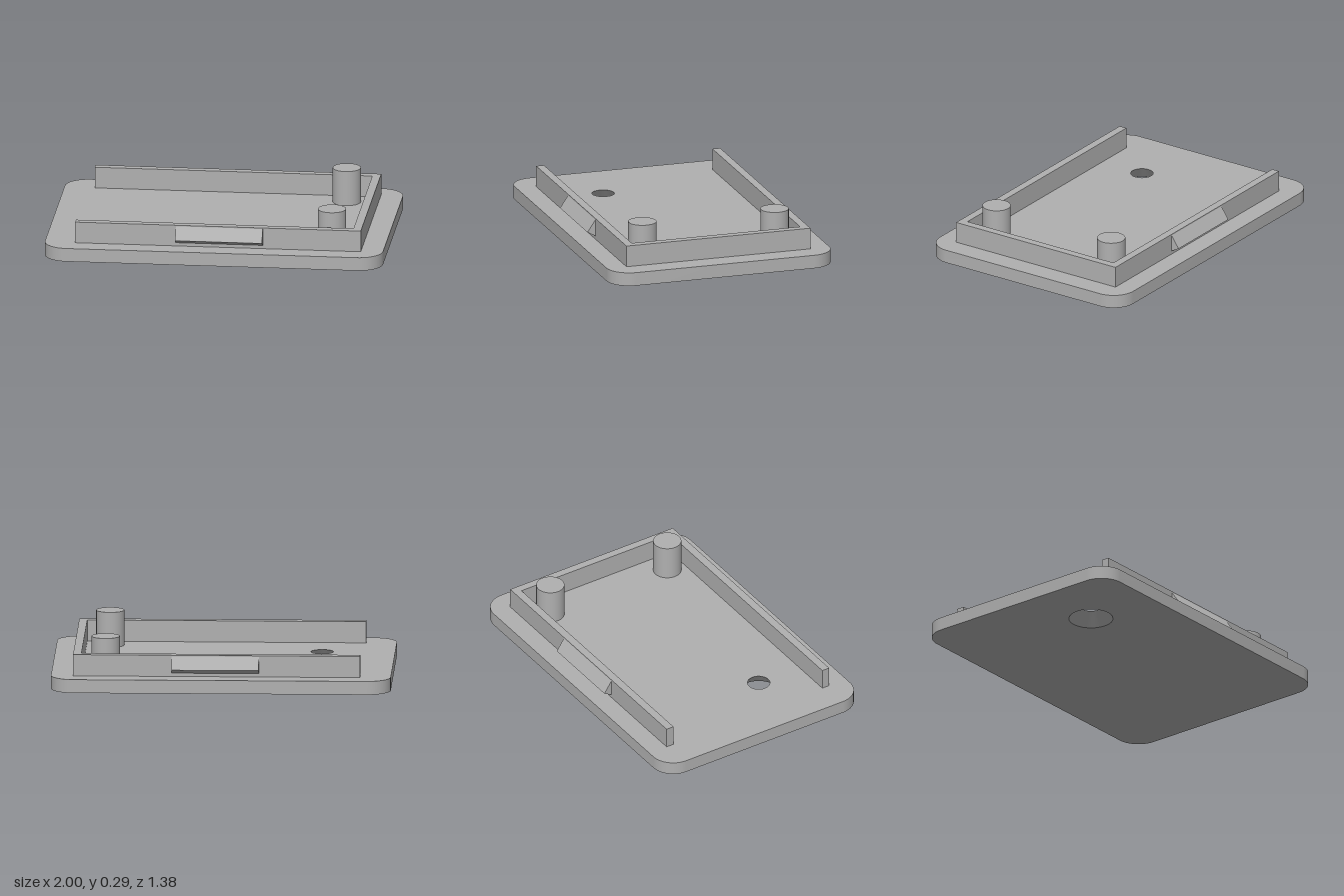
import * as THREE from 'three';
import { toCreasedNormals } from 'three/addons/utils/BufferGeometryUtils.js';

const PLATE_TOP = 0.08;
const HOLE = { x: -0.57, z: 0.238, top: 0.066, bottom: 0.13 };

// Rounded rectangle, symmetric about both axes
function roundedRect(hw, hd, r) {
  const s = new THREE.Shape();
  s.absarc(hw - r, hd - r, r, 0, Math.PI / 2);
  s.absarc(-hw + r, hd - r, r, Math.PI / 2, Math.PI);
  s.absarc(-hw + r, -hd + r, r, Math.PI, Math.PI * 1.5);
  s.absarc(hw - r, -hd + r, r, Math.PI * 1.5, Math.PI * 2);
  s.closePath();
  return s;
}

// Flat plate face with the screw hole cut out
function plateFace(y, holeRadius, up) {
  const s = roundedRect(1, 0.69, 0.14);
  s.holes.push(new THREE.Path().absarc(HOLE.x, up ? -HOLE.z : HOLE.z, holeRadius, 0, Math.PI * 2, true));
  return new THREE.ShapeGeometry(s, 20).rotateX(up ? -Math.PI / 2 : Math.PI / 2).translate(0, y, 0);
}

// Wall strip between two matching loops of (x, -z) points
function ruledBand(bottom, top, y0, y1) {
  const pos = [], n = bottom.length;
  for (let i = 0; i < n; i++) {
    const j = (i + 1) % n;
    const a = [bottom[i].x, y0, -bottom[i].y], b = [bottom[j].x, y0, -bottom[j].y];
    const c = [top[j].x, y1, -top[j].y], d = [top[i].x, y1, -top[i].y];
    pos.push(...a, ...b, ...c, ...a, ...c, ...d);
  }
  const g = new THREE.BufferGeometry();
  g.setAttribute('position', new THREE.Float32BufferAttribute(pos, 3));
  g.computeVertexNormals();
  return toCreasedNormals(g, 0.6);
}

function circlePoints(r, n = 40) {
  return Array.from({ length: n }, (_, i) => {
    const t = -i / n * Math.PI * 2;
    return new THREE.Vector2(HOLE.x + r * Math.cos(t), -HOLE.z + r * Math.sin(t));
  });
}

export function createModel() {
  const root = new THREE.Group();
  root.name = 'enclosureLid';
  const grey = new THREE.MeshStandardMaterial({ color: 0xb0b0b0 });
  grey.name = 'grey plastic';

  const add = (name, geometry, parent = root) => {
    const m = new THREE.Mesh(geometry, grey);
    m.name = name;
    parent.add(m);
    return m;
  };

  // Base plate with a countersunk hole, wide at the underside
  const plate = new THREE.Group();
  plate.name = 'basePlate';
  root.add(plate);
  add('plateTop', plateFace(PLATE_TOP, HOLE.top, true), plate);
  add('plateUnderside', plateFace(0, HOLE.bottom, false), plate);
  const outline = roundedRect(1, 0.69, 0.14).getPoints(20).slice(0, -1);
  add('plateRim', ruledBand(outline, outline, 0, PLATE_TOP), plate);
  add('countersink', ruledBand(circlePoints(HOLE.bottom), circlePoints(HOLE.top), 0, PLATE_TOP), plate);

  // U-shaped lip, open on the -x side
  const lip = new THREE.Shape([
    [-0.82, -0.57], [0.87, -0.57], [0.87, 0.57], [-0.82, 0.57],
    [-0.82, 0.522], [0.822, 0.522], [0.822, -0.522], [-0.82, -0.522],
  ].map(([x, y]) => new THREE.Vector2(x, y)));
  add('lip', new THREE.ExtrudeGeometry(lip, { depth: 0.207 - PLATE_TOP, bevelEnabled: false })
    .rotateX(-Math.PI / 2).translate(0, PLATE_TOP, 0));

  // Wedge snap clips on the outer long sides
  const wedge = new THREE.Shape([
    new THREE.Vector2(0.57, 0.1), new THREE.Vector2(0.62, 0.127), new THREE.Vector2(0.57, 0.2),
  ]);
  const clip = new THREE.ExtrudeGeometry(wedge, { depth: 0.514, bevelEnabled: false })
    .rotateY(-Math.PI / 2).translate(0.257, 0, 0);
  for (const [name, turn] of [['frontClip', 0], ['backClip', Math.PI]]) {
    const m = add(name, clip);
    m.position.x = 0.033;
    m.rotation.y = turn;
  }

  // Round posts in the two closed corners
  const postHeight = 0.29 - PLATE_TOP;
  const post = new THREE.CylinderGeometry(0.083, 0.083, postHeight, 40);
  for (const side of [1, -1]) {
    add(side > 0 ? 'frontPost' : 'backPost', post)
      .position.set(0.683, PLATE_TOP + postHeight / 2, side * 0.41);
  }

  return root;
}
